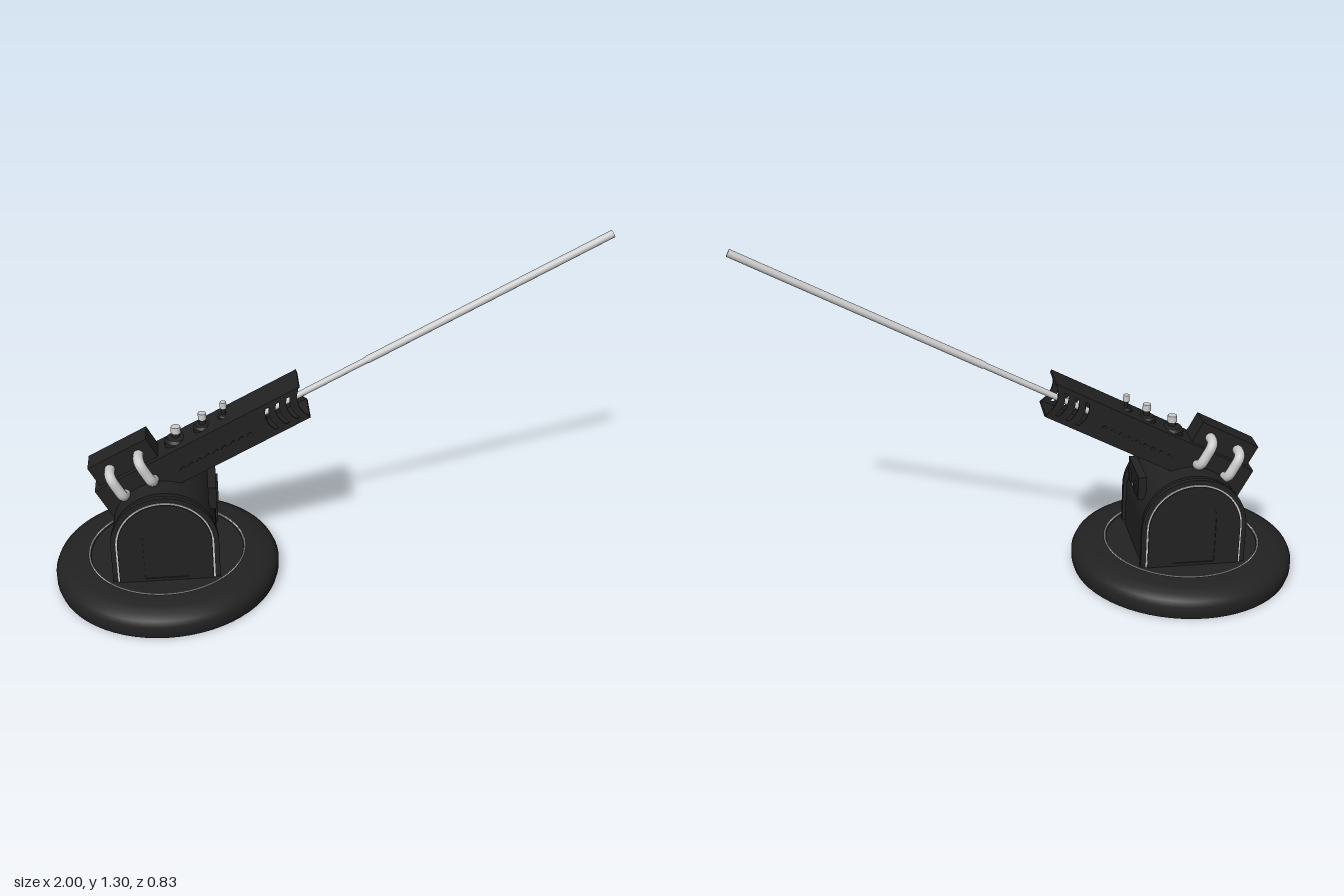
import * as THREE from 'three';
import { toCreasedNormals } from 'three/addons/utils/BufferGeometryUtils.js';

const dark = new THREE.MeshStandardMaterial({ color: 0x222222, side: THREE.DoubleSide });
const grey = new THREE.MeshStandardMaterial({ color: 0xcccccc });
const CX = -0.587; // turret axis

function add(parent, name, geometry, material = dark, x = 0, y = 0, z = 0) {
  const mesh = new THREE.Mesh(geometry, material);
  mesh.name = name;
  mesh.position.set(x, y, z);
  parent.add(mesh);
  return mesh;
}

const box = (w, h, d) => new THREE.BoxGeometry(w, h, d);

// Round-topped doorway outline: half width r, from y0 up to a half circle centred at yc
function arch(r, y0, yc, Type = THREE.Shape) {
  const s = new Type();
  s.moveTo(-r, y0);
  s.lineTo(r, y0);
  s.lineTo(r, yc);
  s.absarc(0, yc, r, 0, Math.PI, false);
  s.lineTo(-r, y0);
  return s;
}

function extrude(shape, depth) {
  const g = new THREE.ExtrudeGeometry(shape, { depth, bevelEnabled: false, curveSegments: 24 });
  return toCreasedNormals(g, 0.6);
}

function lathe(points, segments = 48) {
  const pts = points.map(([r, y]) => new THREE.Vector2(r, y));
  return toCreasedNormals(new THREE.LatheGeometry(pts, segments), 0.6);
}

function createBase(root) {
  add(root, 'base', lathe([[0, 0], [0.408, 0], [0.414, 0.02], [0.414, 0.05], [0.405, 0.07],
    [0.385, 0.084], [0.35, 0.094], [0.3, 0.1], [0.286, 0.1], [0.283, 0.094], [0, 0.094]], 64), dark, CX);
  const ring = add(root, 'baseRing', new THREE.TorusGeometry(0.288, 0.003, 6, 64), grey, CX, 0.1);
  ring.rotation.x = Math.PI / 2;
}

function createHousing(root) {
  const housing = new THREE.Group();
  housing.name = 'housing';
  housing.position.x = CX;
  root.add(housing);
  const layer = (name, shape, z0, z1, material) => add(housing, name, extrude(shape, z1 - z0), material, 0, 0, z0);

  layer('housingBody', arch(0.186, 0.09, 0.247), -0.146, 0.146);
  for (const s of [1, -1]) {
    const slab = (name, shape, a, b, m) => layer(name, shape, Math.min(s * a, s * b), Math.max(s * a, s * b), m);
    slab('housingGroove', arch(0.174, 0.09, 0.245), 0.146, 0.17);
    slab('sidePlate', arch(0.193, 0.09, 0.245), 0.17, 0.188);
    slab('sideTrim', arch(0.175, 0.09, 0.245), 0.188, 0.191, grey);
    // raised panel with an arched recess
    const panel = arch(0.169, 0.09, 0.245);
    panel.holes.push(arch(0.078, 0.105, 0.288, THREE.Path));
    slab('sidePanel', panel, 0.186, 0.196);
    slab('recessFloor', arch(0.08, 0.1, 0.288), 0.186, 0.192);
  }

  // control panel on the muzzle side
  add(housing, 'controlPanel', box(0.03, 0.09, 0.18), dark, 0.176, 0.365, 0);
  for (const z of [-0.05, 0.05]) add(housing, 'controlButton', box(0.02, 0.04, 0.036), dark, 0.188, 0.352, z);
  add(housing, 'controlLight', box(0.008, 0.005, 0.034), grey, 0.19, 0.334, 0.003);
}

// Side wall of the gun body with a concave muzzle edge and curved vent slots
function wallShape() {
  const s = new THREE.Shape();
  s.moveTo(-0.226, -0.04);
  s.lineTo(0.583, -0.04);
  s.quadraticCurveTo(0.545, 0.03, 0.604, 0.088);
  s.lineTo(-0.226, 0.088);
  s.closePath();
  for (const u of [0.453, 0.495, 0.537]) {
    const slot = new THREE.Path();
    const w = 0.014;
    slot.moveTo(u, -0.02);
    slot.quadraticCurveTo(u - 0.024, 0.026, u + 0.008, 0.07);
    slot.lineTo(u + 0.008 + w, 0.07);
    slot.quadraticCurveTo(u - 0.024 + w, 0.026, u + w, -0.02);
    slot.closePath();
    s.holes.push(slot);
  }
  return s;
}

function createGun(root) {
  const gun = new THREE.Group();
  gun.name = 'gun';
  gun.position.set(CX, 0.43, 0);
  gun.rotation.z = 0.484;
  root.add(gun);

  // hollow body: walls, roof, floor and a solid core behind the vents
  const zc = -0.004;
  for (const z of [zc - 0.068, zc + 0.06]) add(gun, 'gunWall', extrude(wallShape(), 0.008), dark, 0, 0, z);
  add(gun, 'gunRoof', box(0.83, 0.008, 0.12), dark, 0.189, 0.084, zc);
  add(gun, 'gunFloor', box(0.809, 0.008, 0.12), dark, 0.1785, -0.036, zc);
  add(gun, 'gunCore', box(0.645, 0.12, 0.12), dark, 0.0985, 0.024, zc);

  // row of ribs along both sides
  for (let i = 0; i < 9; i++) {
    for (const s of [1, -1]) {
      const rib = add(gun, 'sideRib', box(0.022, 0.01, 0.006), dark, 0.09 + i * 0.034, 0.01, zc + s * 0.069);
      rib.rotation.z = 0.5;
    }
  }

  // breech block
  add(gun, 'breechBlock', box(0.24, 0.092, 0.09), dark, -0.085, 0.126, -0.002);

  // bent pipes from breech to gun sides
  for (const u of [-0.138, -0.02]) {
    for (const s of [1, -1]) {
      const path = new THREE.CurvePath();
      const p = (v, z) => new THREE.Vector3(u, v, s * z);
      path.add(new THREE.LineCurve3(p(0.13, 0.03), p(0.13, 0.065)));
      path.add(new THREE.QuadraticBezierCurve3(p(0.13, 0.065), p(0.13, 0.1), p(0.095, 0.1)));
      path.add(new THREE.LineCurve3(p(0.095, 0.1), p(0.055, 0.1)));
      path.add(new THREE.QuadraticBezierCurve3(p(0.055, 0.1), p(0.025, 0.1), p(0.025, 0.06)));
      add(gun, 'pipe', new THREE.TubeGeometry(path, 32, 0.019, 12), grey);
    }
  }

  // barrel: slimmer root, slightly thicker tube
  const tube = (name, r, u0, u1) => {
    const m = add(gun, name, new THREE.CylinderGeometry(r, r, u1 - u0, 16), grey, (u0 + u1) / 2, 0.024, -0.009);
    m.rotation.z = -Math.PI / 2;
  };
  tube('barrelRoot', 0.0115, 0.41, 0.85);
  tube('barrel', 0.0138, 0.85, 1.797);
}

// Upright knobs on the gun roof, shrinking toward the muzzle
function createKnobs(root) {
  for (const [x, y, r] of [[-0.53, 0.56, 0.042], [-0.434, 0.61, 0.033], [-0.358, 0.65, 0.021]]) {
    const k = r / 0.042;
    add(root, 'knobBase', lathe([[r, -0.03], [r, 0], [r * 0.8, 0.012 * k], [r * 0.35, 0.016 * k], [r * 0.35, 0.035], [0, 0.035]], 20), dark, x, y, -0.007);
    add(root, 'knobCap', new THREE.CylinderGeometry(0.006 + 0.011 * k, 0.006 + 0.012 * k, 0.024, 16), grey, x, y + 0.043, -0.007);
  }
}

export function createModel() {
  const root = new THREE.Group();
  root.name = 'turret';
  createBase(root);
  createHousing(root);
  createGun(root);
  createKnobs(root);
  return root;
}
